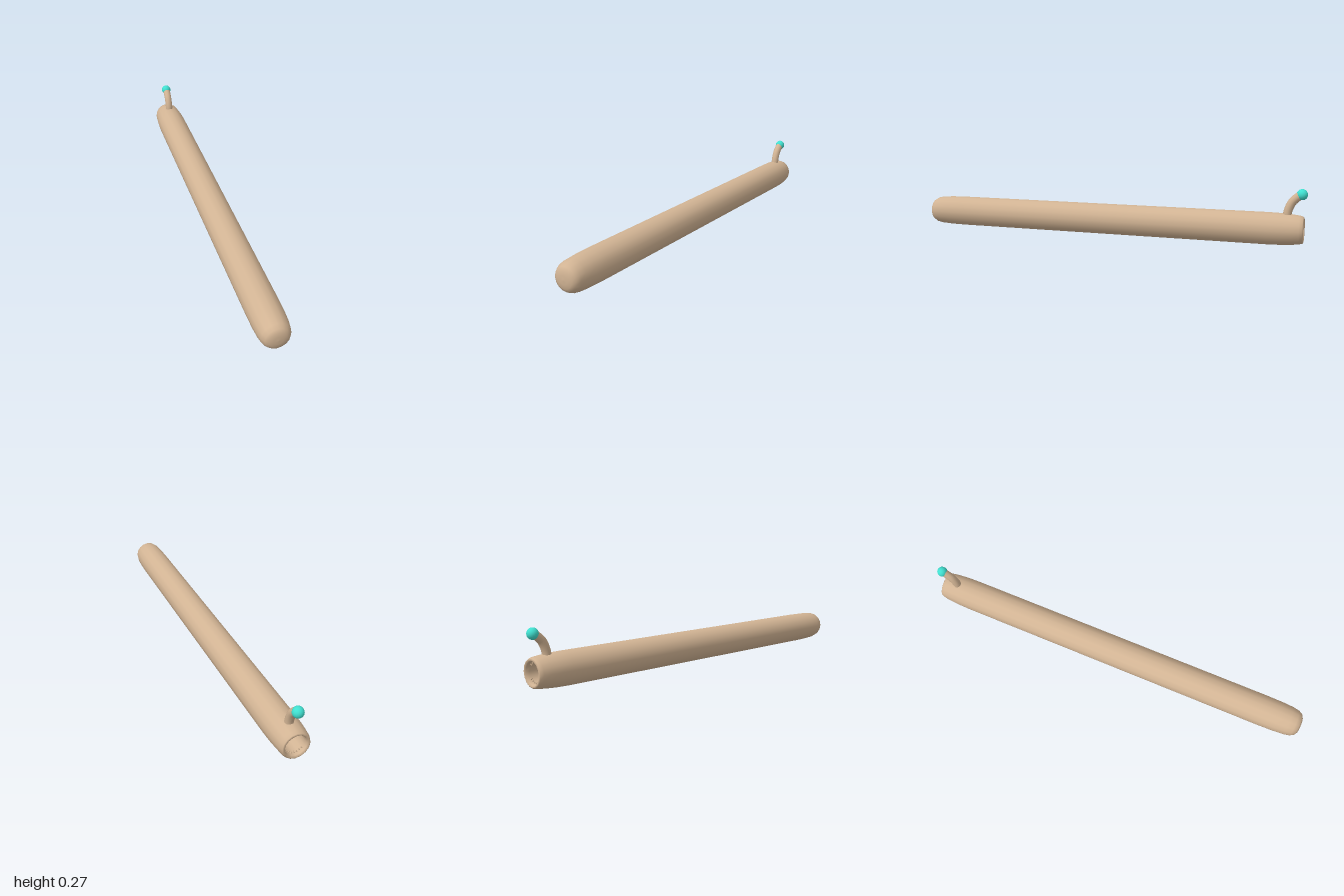
import * as THREE from 'three';

const AXIS_Y = 0.079; // height of the body's centre line

export function createModel() {
  const root = new THREE.Group();
  const skin = new THREE.MeshStandardMaterial({ color: 0xd2b494 });
  const turquoise = new THREE.MeshStandardMaterial({ color: 0x40e0d0 });

  const add = (name, geometry, material, parent = root) => {
    const mesh = new THREE.Mesh(geometry, material);
    mesh.name = name;
    parent.add(mesh);
    return mesh;
  };

  // Body: one lathe from the mouth floor, over the lip, to the blunt closed end
  const profile = [
    [0, -0.8], [0.03, -0.81], [0.046, -0.85], [0.05, -0.9], [0.049, -0.96],
    [0.051, -0.978], [0.057, -0.985], [0.064, -0.981], [0.069, -0.965],
    [0.073, -0.93], [0.0765, -0.88], [0.078, -0.82], [0.078, 0], [0.078, 0.8],
    [0.0765, 0.88], [0.073, 0.935], [0.067, 0.968], [0.056, 0.987],
    [0.04, 0.996], [0.02, 0.999], [0, 1],
  ].map(([r, z]) => new THREE.Vector2(r, z));
  const body = add('body', new THREE.LatheGeometry(profile, 16).rotateX(Math.PI / 2), skin);
  body.position.y = AXIS_Y;

  // Teeth: an upper and a lower arc of small cones pointing into the mouth
  const toothGeometry = new THREE.ConeGeometry(0.005, 0.014, 6).rotateZ(Math.PI).translate(0, 0.045, 0);
  for (const [name, middle] of [['upperTeeth', 0], ['lowerTeeth', Math.PI]]) {
    const row = new THREE.Group();
    row.name = name;
    row.position.set(0, AXIS_Y, -0.962);
    for (let i = 0; i < 7; i++) {
      add('tooth', toothGeometry, skin, row).rotation.z = middle + (i - 3) * 0.28;
    }
    root.add(row);
  }

  // Stalk: short tube rising from the back and bending over the mouth
  const path = new THREE.CatmullRomCurve3([
    new THREE.Vector3(0, 0.12, -0.906),
    new THREE.Vector3(0, 0.165, -0.909),
    new THREE.Vector3(0, 0.21, -0.928),
    new THREE.Vector3(0, 0.243, -0.962),
  ]);
  add('stalk', new THREE.TubeGeometry(path, 10, 0.02, 12), skin);

  // Lure at the tip of the stalk
  add('lure', new THREE.SphereGeometry(0.026, 16, 12), turquoise).position.set(0, 0.246, -0.971);

  return root;
}
